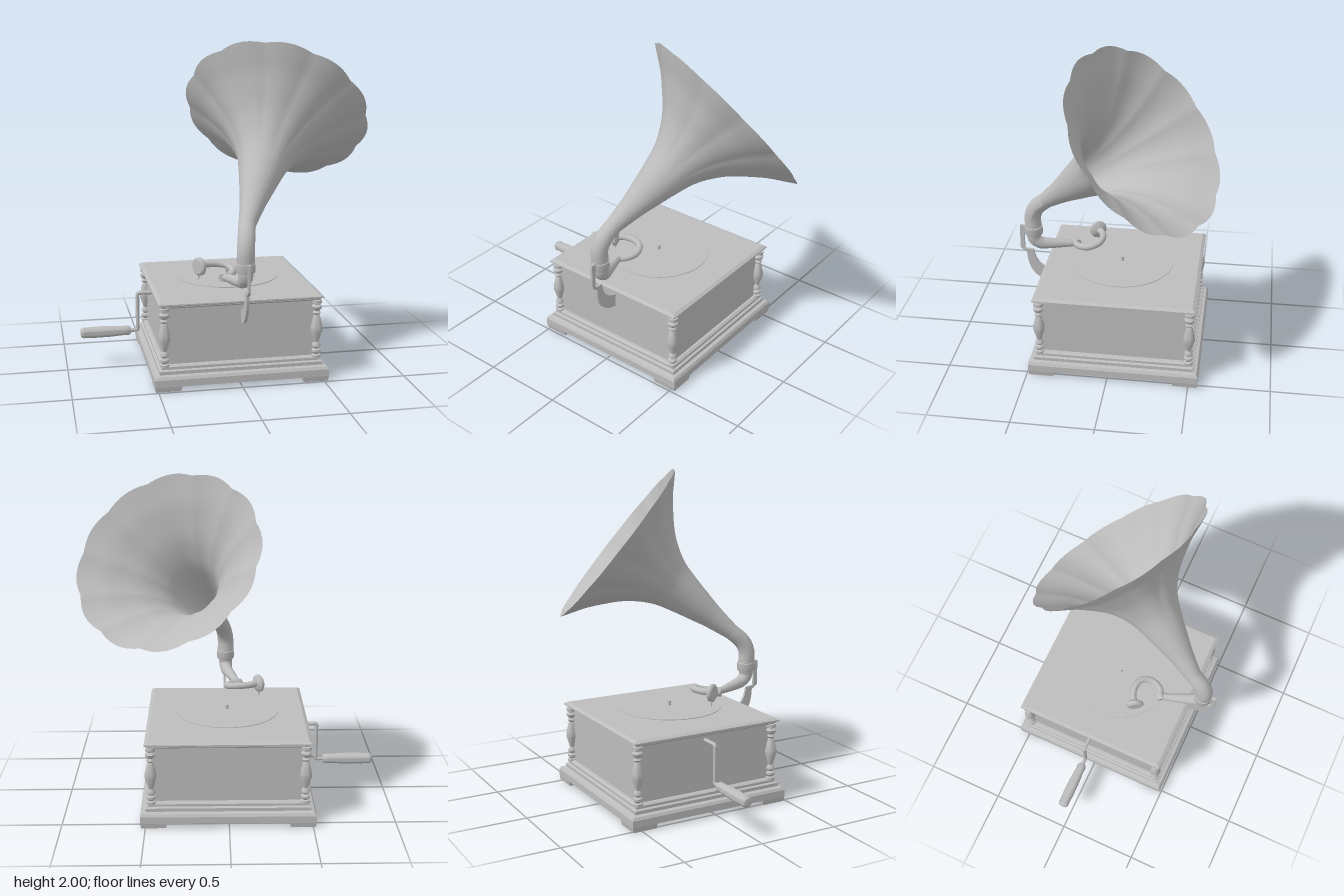
import * as THREE from 'three';
import { toCreasedNormals } from 'three/addons/utils/BufferGeometryUtils.js';

const CX = 0.005, CZ = -0.035; // cabinet centre
const V = (x, y, z) => new THREE.Vector3(x, y, z);
const grey = new THREE.MeshStandardMaterial({ color: 0xbcbcbc, side: THREE.DoubleSide });
grey.name = 'grey';

function add(parent, name, geometry, x = 0, y = 0, z = 0) {
  const mesh = new THREE.Mesh(geometry, grey);
  mesh.name = name;
  mesh.position.set(x, y, z);
  parent.add(mesh);
  return mesh;
}

// turned solid from [radius, height] pairs
const turned = (pts, sides = 24, crease = 0.6) =>
  toCreasedNormals(new THREE.LatheGeometry(pts.map(p => new THREE.Vector2(...p)), sides), crease);

// square moulding from [half width, height] pairs, closed at both ends
function moulding(pts) {
  const ring = pts.map(([h, y]) => [h * Math.SQRT2, y]);
  const closed = [[0, pts[0][1]], ...ring, [0, pts[pts.length - 1][1]]];
  return turned(closed, 4, 0.1).rotateY(Math.PI / 4);
}

// round tube along points, with radius r0 at the start and r1 at the end
function pipe(points, r0, r1 = r0, n = 32) {
  const curve = new THREE.CatmullRomCurve3(points, false, 'centripetal');
  const g = new THREE.TubeGeometry(curve, n, 1, 16);
  const pos = g.attributes.position, v = V(0, 0, 0);
  for (let i = 0; i < pos.count; i++) {
    const t = Math.floor(i / 17) / n, c = curve.getPointAt(t);
    v.fromBufferAttribute(pos, i).sub(c).multiplyScalar(r0 + (r1 - r0) * t).add(c);
    pos.setXYZ(i, v.x, v.y, v.z);
  }
  g.computeVertexNormals();
  return g;
}

function cabinet() {
  const group = new THREE.Group();
  group.name = 'cabinet';
  group.position.set(CX, 0, CZ);
  add(group, 'plinth', moulding([[0.525, 0.03], [0.525, 0.072], [0.515, 0.088], [0.493, 0.094],
    [0.493, 0.114], [0.478, 0.12], [0.478, 0.135], [0.465, 0.145]]));
  add(group, 'body', new THREE.BoxGeometry(0.9, 0.37, 0.9), 0, 0.315, 0);
  add(group, 'lid', moulding([[0.465, 0.488], [0.48, 0.498], [0.48, 0.503], [0.495, 0.51],
    [0.495, 0.518], [0.475, 0.53]]));
  // corner feet and turned columns
  const column = turned([[0, 0.135], [0.028, 0.135], [0.028, 0.15], [0.016, 0.155], [0.027, 0.168],
    [0.027, 0.18], [0.014, 0.19], [0.026, 0.203], [0.024, 0.217], [0.014, 0.23], [0.018, 0.245],
    [0.035, 0.3], [0.035, 0.325], [0.02, 0.39], [0.015, 0.4], [0.025, 0.412], [0.015, 0.425],
    [0.028, 0.437], [0.032, 0.452], [0.018, 0.465], [0.03, 0.472], [0.03, 0.49], [0, 0.49]]);
  const foot = turned([[0, 0], [0.075 * Math.SQRT2, 0], [0.08 * Math.SQRT2, 0.032]], 4, 0.1).rotateY(Math.PI / 4);
  for (const sx of [-1, 1]) for (const sz of [-1, 1]) {
    add(group, 'column', column, sx * 0.46, 0, sz * 0.46);
    add(group, 'foot', foot, sx * 0.445, 0, sz * 0.445);
  }
  return group;
}

function turntable() {
  const group = new THREE.Group();
  group.name = 'turntable';
  group.position.set(0.005, 0, -0.03);
  add(group, 'platter', new THREE.CylinderGeometry(0.28, 0.28, 0.012, 64), 0, 0.547, 0);
  add(group, 'record', new THREE.CylinderGeometry(0.322, 0.322, 0.004, 64), 0, 0.556, 0);
  add(group, 'spindle', new THREE.CylinderGeometry(0.009, 0.009, 0.055, 12), 0, 0.558, 0);
  return group;
}

function crank() {
  const group = new THREE.Group();
  group.name = 'crank';
  group.position.z = -0.04;
  add(group, 'crankRod', pipe([V(-0.43, 0.457, 0), V(-0.535, 0.457, 0), V(-0.55, 0.457, 0), V(-0.558, 0.449, 0),
    V(-0.558, 0.434, 0), V(-0.558, 0.243, 0), V(-0.558, 0.228, 0), V(-0.566, 0.22, 0), V(-0.58, 0.22, 0),
    V(-0.63, 0.22, 0)], 0.012, 0.012, 100));
  const handle = turned([[0, 0], [0.022, 0], [0.03, 0.015], [0.029, 0.05], [0.034, 0.13],
    [0.035, 0.22], [0.032, 0.28], [0.034, 0.295], [0.024, 0.31], [0, 0.313]]);
  add(group, 'crankHandle', handle, -0.602, 0.22, 0).rotation.z = Math.PI / 2;
  return group;
}

function bracket() {
  // flat side profile drawn as (z, y)
  const s = new THREE.Shape();
  s.moveTo(0.625, 0.77);
  s.lineTo(0.625, 0.61);
  s.lineTo(0.585, 0.58);
  s.bezierCurveTo(0.58, 0.47, 0.54, 0.39, 0.42, 0.375);
  s.lineTo(0.42, 0.46);
  s.bezierCurveTo(0.5, 0.48, 0.53, 0.52, 0.542, 0.6);
  s.lineTo(0.598, 0.605);
  s.lineTo(0.598, 0.72);
  s.lineTo(0.575, 0.73);
  s.lineTo(0.575, 0.77);
  const g = new THREE.ExtrudeGeometry(s, { depth: 0.016, bevelEnabled: false, curveSegments: 16 });
  return g.translate(0, 0, -0.008).rotateY(-Math.PI / 2).scale(-1, 1, 1);
}

function toneArm() {
  const group = new THREE.Group();
  group.name = 'toneArm';
  add(group, 'armTube', pipe([V(0.005, 0.73, 0.537), V(0.005, 0.68, 0.535), V(0, 0.647, 0.5),
    V(-0.02, 0.635, 0.44), V(-0.07, 0.62, 0.28)], 0.047, 0.02));
  const joint = add(group, 'armJoint', turned([[0, -0.022], [0.026, -0.022], [0.03, 0], [0.026, 0.022], [0, 0.022]]),
    -0.07, 0.62, 0.28);
  joint.quaternion.setFromUnitVectors(V(0, 1, 0), V(0.6, 0.1, -0.6).normalize());
  add(group, 'gooseNeck', pipe([V(-0.07, 0.62, 0.285), V(-0.025, 0.625, 0.255), V(0, 0.635, 0.19),
    V(-0.025, 0.652, 0.13), V(-0.085, 0.66, 0.11), V(-0.15, 0.662, 0.122), V(-0.19, 0.662, 0.15)], 0.021));
  const box = add(group, 'soundBox', turned([[0, -0.02], [0.045, -0.02], [0.055, -0.012], [0.055, 0.005],
    [0.045, 0.012], [0.025, 0.022], [0, 0.022]], 32), -0.197, 0.66, 0.155);
  box.quaternion.setFromUnitVectors(V(0, 1, 0), V(0.866, 0, -0.5));
  add(group, 'needle', new THREE.CylinderGeometry(0.006, 0.002, 0.04, 8), -0.203, 0.595, 0.152);
  return group;
}

// horn with twelve shallow scalloped petals, swept along a tilted axis
function horn() {
  const profile = new THREE.SplineCurve([[0.051, 0], [0.075, 0.15], [0.102, 0.27], [0.13, 0.39],
    [0.162, 0.505], [0.21, 0.6], [0.275, 0.69], [0.367, 0.78], [0.437, 0.84], [0.517, 0.895],
    [0.567, 0.93]].map(p => new THREE.Vector2(...p)));
  const g = new THREE.LatheGeometry(profile.getPoints(40), 120);
  const pos = g.attributes.position;
  for (let i = 0; i < pos.count; i++) {
    const x = pos.getX(i), y = pos.getY(i), z = pos.getZ(i);
    const bulge = Math.abs(Math.sin(6 * Math.atan2(x, z)));
    const k = 1 + 0.035 * bulge * THREE.MathUtils.smoothstep(y, 0.3, 0.8);
    pos.setXYZ(i, x * k, y, z * k);
  }
  const axis = V(0.349, 0.624, -0.698).normalize();
  const seam = V(0.36, 0.21, 0.368);
  seam.addScaledVector(axis, -seam.dot(axis)).normalize();
  const side = V(0, 0, 0).crossVectors(axis, seam);
  g.applyMatrix4(new THREE.Matrix4().makeBasis(side, axis, seam).setPosition(0.034, 0.972, 0.442));
  return toCreasedNormals(g, 0.25);
}

export function createModel() {
  const model = new THREE.Group();
  model.name = 'gramophone';
  model.add(cabinet(), turntable(), crank(), toneArm());
  add(model, 'hornBracket', bracket(), 0.01, 0, 0);
  add(model, 'collar', turned([[0.045, 0.71], [0.054, 0.712], [0.057, 0.72], [0.057, 0.765], [0.045, 0.77]], 32),
    0.005, 0, 0.538);
  add(model, 'elbow', pipe([V(0.005, 0.74, 0.538), V(0.005, 0.84, 0.54), V(0.014, 0.905, 0.513),
    V(0.034, 0.972, 0.442), V(0.04, 0.983, 0.43)], 0.053, 0.051));
  add(model, 'horn', horn());
  return model;
}
